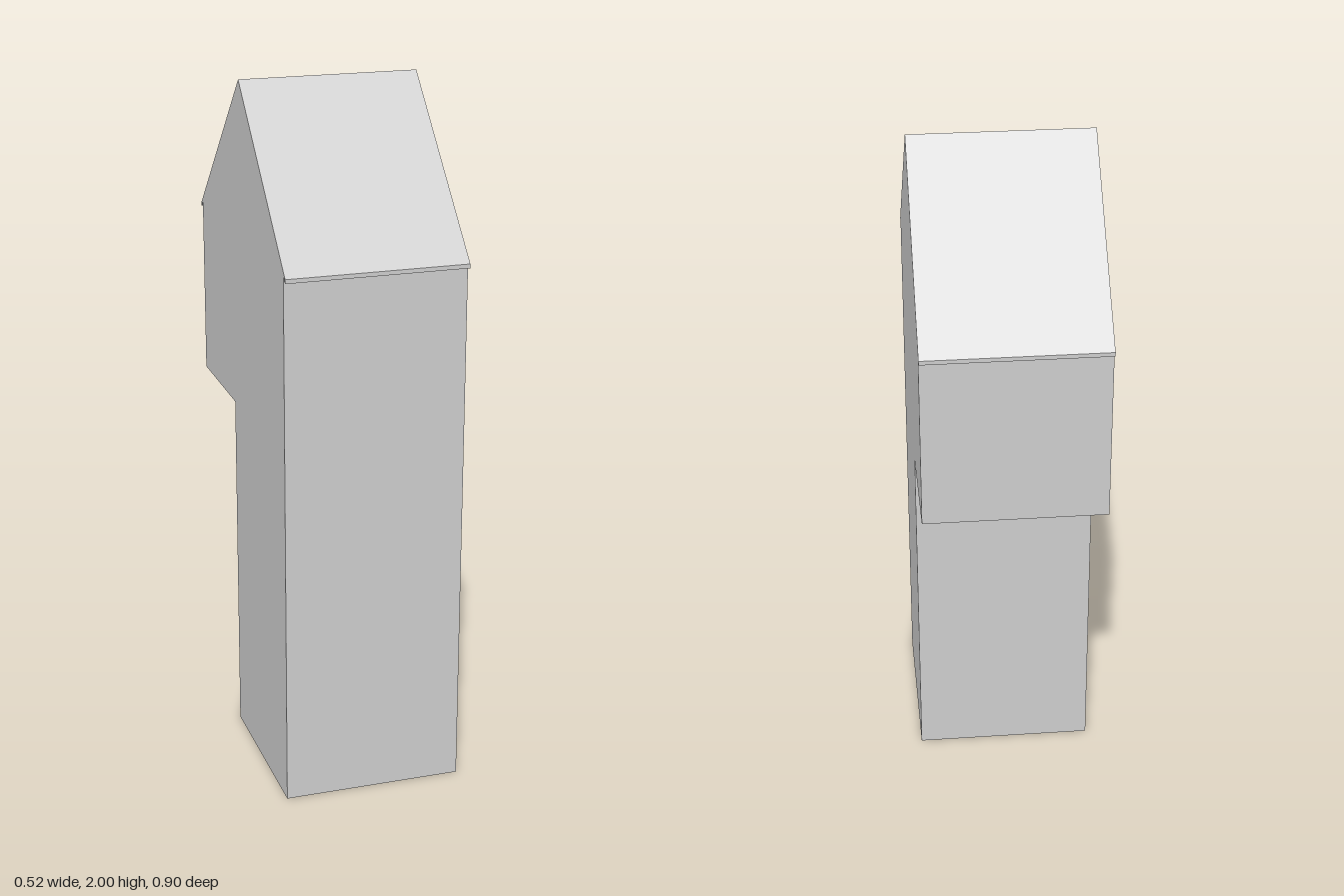
import * as THREE from 'three';

export function createModel() {
  const model = new THREE.Group();
  const grey = new THREE.MeshStandardMaterial({ color: 0xcccccc, side: THREE.DoubleSide });
  grey.name = 'plain grey';
  const halfWidth = 0.259;

  // Side outline as [z, y], counterclockwise when seen from +z on the left
  const back = [[-0.087, 0], [-0.087, 1.037], [-0.432, 1.037], [-0.432, 1.558]];
  const roof = [[-0.432, 1.558], [-0.449, 1.541], [-0.449, 1.553], [0, 2],
    [0.449, 1.553], [0.449, 1.541], [0.432, 1.558]];
  const front = [[0.432, 1.558], [0.432, 0]];

  function add(name, geometry) {
    const mesh = new THREE.Mesh(geometry, grey);
    mesh.name = name;
    model.add(mesh);
    return mesh;
  }

  // Flat panels across the full width along an open run of outline points
  function panels(name, run) {
    const positions = [];
    for (let i = 0; i < run.length - 1; i++) {
      const [z0, y0] = run[i];
      const [z1, y1] = run[i + 1];
      const a = [halfWidth, y0, z0], b = [-halfWidth, y0, z0];
      const c = [-halfWidth, y1, z1], d = [halfWidth, y1, z1];
      positions.push(...a, ...b, ...c, ...a, ...c, ...d);
    }
    const geometry = new THREE.BufferGeometry();
    geometry.setAttribute('position', new THREE.Float32BufferAttribute(positions, 3));
    geometry.computeVertexNormals();
    add(name, geometry);
  }

  // The shaft is hollow and open at the foot
  panels('backWallAndOverhang', back);
  panels('gableRoof', roof);
  panels('frontWall', front);

  // Gabled side walls, facing outward on both sides
  const outline = [...back, ...roof.slice(1), ...front.slice(1)];
  for (const side of [1, -1]) {
    const shape = new THREE.Shape(outline.map(([z, y]) => new THREE.Vector2(-side * z, y)));
    const wall = add(side > 0 ? 'leftGableWall' : 'rightGableWall', new THREE.ShapeGeometry(shape));
    wall.rotation.y = side * Math.PI / 2;
    wall.position.x = side * halfWidth;
  }

  return model;
}
